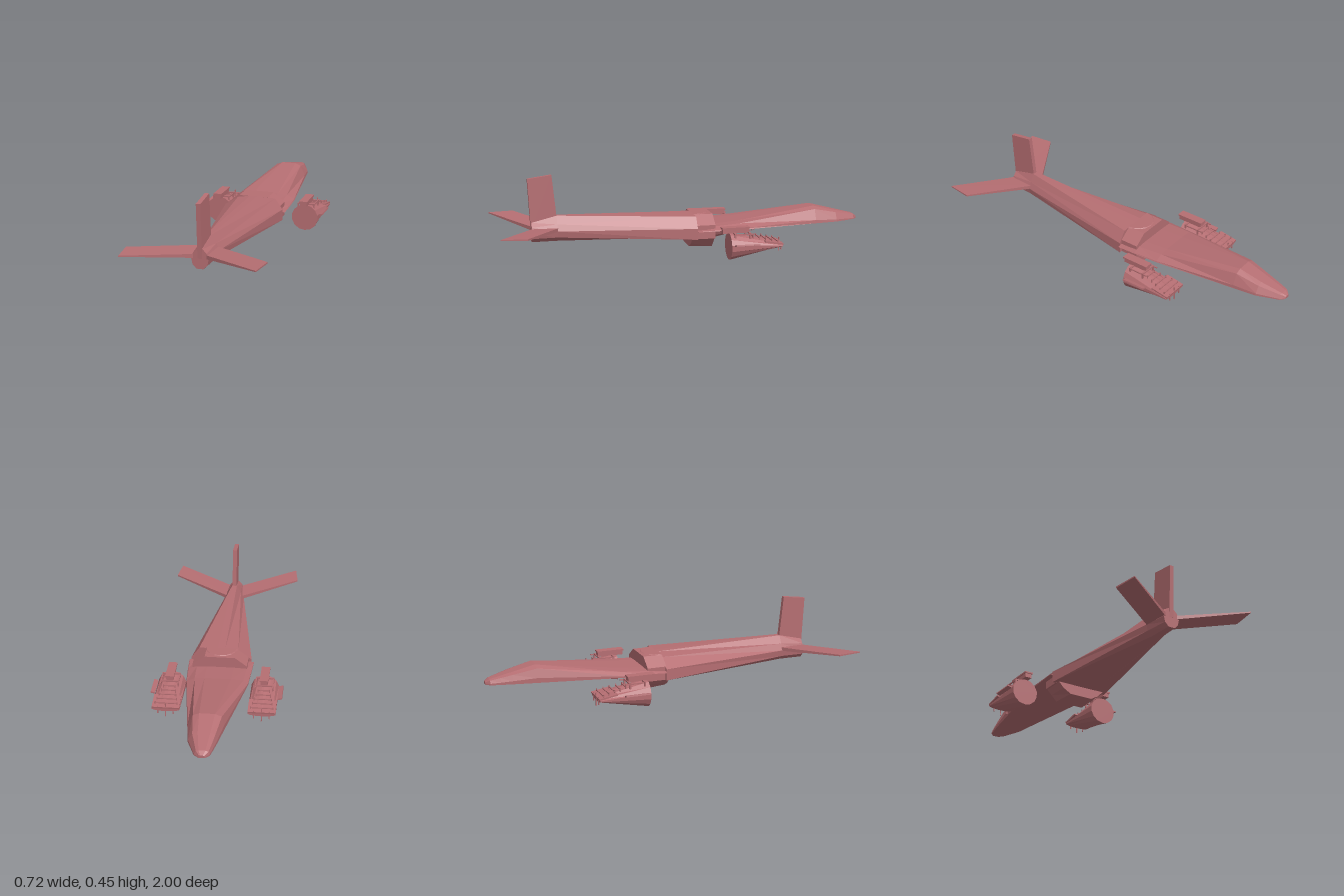
import * as THREE from 'three';

const paint = new THREE.MeshStandardMaterial({ color: 0xb56e72, flatShading: true });
paint.name = 'dusty red';

// Skins a row of counter-clockwise [x, y] rings, ordered by rising z, with closed ends
function loft(rings) {
  const pos = [], n = rings[0].pts.length;
  const put = (r, j) => {
    const p = rings[r].pts[j % n];
    pos.push(p[0], p[1], p[2] ?? rings[r].z);
  };
  for (let r = 0; r < rings.length - 1; r++) {
    for (let j = 0; j < n; j++) {
      put(r, j); put(r, j + 1); put(r + 1, j + 1);
      put(r, j); put(r + 1, j + 1); put(r + 1, j);
    }
  }
  const last = rings.length - 1;
  for (let j = 1; j < n - 1; j++) {
    put(0, 0); put(0, j + 1); put(0, j);
    put(last, 0); put(last, j); put(last, j + 1);
  }
  const g = new THREE.BufferGeometry();
  g.setAttribute('position', new THREE.Float32BufferAttribute(pos, 3));
  g.computeVertexNormals();
  return g;
}

// Adds the mirrored half to a right-hand half outline that runs upward
const mirrored = half => [...half, ...half.map(([x, y]) => [-x, y]).reverse()];

function part(parent, name, geometry) {
  const m = new THREE.Mesh(geometry, paint);
  m.name = name;
  parent.add(m);
  return m;
}

function box(parent, name, x, y, z, w, h, d) {
  const m = part(parent, name, new THREE.BoxGeometry(w, h, d));
  m.position.set(x, y, z);
  return m;
}

function buildNacelle(side) {
  const g = new THREE.Group();
  g.name = side > 0 ? 'leftNacelle' : 'rightNacelle';

  // Round at one end, flattening to a wide lip at the other
  const ring = (z, cy, rx, ry) => ({
    z,
    pts: Array.from({ length: 14 }, (_, i) => {
      const a = (i / 14) * Math.PI * 2 + Math.PI / 14;
      return [rx * Math.cos(a), cy + ry * Math.sin(a)];
    }),
  });
  part(g, 'nacelleShell', loft([
    ring(-0.48, 0.077, 0.074, 0.013),
    ring(-0.205, 0.074, 0.074, 0.073),
  ]));

  // Short sloping deck behind the lip
  const deck = box(g, 'nacelleDeck', 0, 0.094, -0.435, 0.142, 0.008, 0.1);
  deck.rotation.x = -0.17;

  // Cradle and mount block
  box(g, 'mountBlock', 0, 0.158, -0.24, 0.036, 0.026, 0.14);
  box(g, 'mountCap', 0, 0.172, -0.24, 0.046, 0.008, 0.15);
  for (const z of [-0.23, -0.31]) {
    box(g, 'cradleBar', 0, 0.145, z, 0.09, 0.007, 0.01);
    for (const x of [-0.045, 0.045]) box(g, 'cradleLeg', x, 0.132, z, 0.007, 0.03, 0.01);
  }
  for (const x of [-0.045, 0.045]) box(g, 'cradleRail', x, 0.142, -0.28, 0.006, 0.006, 0.11);

  // Rungs and pins along the deck, widening towards the lip
  for (let i = 0; i < 5; i++) {
    const z = -0.33 - i * 0.032, y = 0.128 - i * 0.007, w = 0.06 + i * 0.014;
    box(g, 'deckRung', 0, y, z, w, 0.005, 0.006);
    for (const x of [-1, 1]) box(g, 'deckPin', x * w / 2, y - 0.004, z, 0.005, 0.022, 0.005);
  }
  for (const x of [-0.04, 0, 0.04]) box(g, 'lipPin', x, 0.072, -0.48, 0.005, 0.075 - Math.abs(x) * 0.8, 0.005);

  // Small outboard vane
  const vane = box(g, 'outboardVane', side * 0.085, 0.093, -0.285, 0.024, 0.008, 0.13);
  vane.rotation.z = side * 0.25;
  g.position.x = side * 0.247;
  return g;
}

export function createModel() {
  const model = new THREE.Group();
  model.name = 'aircraft';

  // Forward hull: flat bottom, hump near the nose, thin trailing wedge;
  // the +x flank is broad and the -x edge steep
  const noseRing = ([z, right, left, top]) => {
    const b = 0.138, h = top - b;
    return {
      z,
      pts: [
        [right, b], [right * 0.98, b + h * 0.2], [right * 0.72, b + h * 0.85], [right * 0.4, top],
        [-left * 0.45, top], [-left * 0.85, b + h * 0.85], [-left, b + h * 0.3], [-left, b],
      ],
    };
  };
  part(model, 'forwardHull', loft([
    [-1, 0.016, 0.016, 0.152],
    [-0.978, 0.04, 0.038, 0.166],
    [-0.925, 0.06, 0.05, 0.179],
    [-0.865, 0.083, 0.062, 0.194],
    [-0.74, 0.1, 0.084, 0.225],
    [-0.3, 0.162, 0.163, 0.168],
    [-0.16, 0.17, 0.17, 0.158],
    [-0.06, 0.174, 0.174, 0.146],
  ].map(noseRing)));

  // Aft hull: broad shoulder, narrowing to a rounded tail with a fin root
  part(model, 'aftHull', loft([
    { z: -0.06, pts: [[0.09, 0.096], [0.162, 0.096], [0.162, 0.155], [0.12, 0.213], [0.02, 0.217],
      [-0.02, 0.217], [-0.09, 0.205], [-0.162, 0.157], [-0.162, 0.096], [-0.09, 0.096]] },
    { z: 0.67, pts: mirrored([[0.024, 0.099], [0.05, 0.122], [0.055, 0.155], [0.038, 0.19], [0.014, 0.232]]) },
    { z: 0.803, pts: mirrored([[0.018, 0.097], [0.038, 0.118], [0.045, 0.148], [0.035, 0.178], [0.014, 0.2]]) },
  ]));

  // Eight-sided middle section with a lower belly box
  part(model, 'middleSection', loft([-0.16, -0.055].map(z => ({
    z, pts: mirrored([[0.08, 0.09], [0.145, 0.095], [0.145, 0.168], [0.08, 0.216]]),
  }))));
  part(model, 'bellyBox', loft([
    { z: -0.157, pts: mirrored([[0.08, 0.037], [0.11, 0.067], [0.14, 0.097]]) },
    { z: -0.035, pts: mirrored([[0.064, 0.041], [0.108, 0.066], [0.137, 0.097]]) },
  ]));

  // Low rounded hatch on the middle section
  const hatch = part(model, 'hatch', new THREE.CylinderGeometry(0.08, 0.088, 0.006, 8, 1, false, Math.PI / 2, Math.PI));
  hatch.position.set(0, 0.216, -0.062);

  // Upright fin
  const outline = [[-0.805, 0.15], [-0.67, 0.2], [-0.67, 0.232], [-0.692, 0.449], [-0.82, 0.432]];
  const finShape = new THREE.Shape(outline.map(([x, y]) => new THREE.Vector2(x, y)));
  const finGeometry = new THREE.ExtrudeGeometry(finShape, { depth: 0.023, bevelEnabled: false });
  const fin = part(model, 'fin', finGeometry.translate(0, 0, -0.0115));
  fin.rotation.y = Math.PI / 2;

  // Swept tailplanes, thinner at the tips
  const root = [[0.03, 0.15, 0.655], [0.03, 0.15, 0.8], [0.03, 0.17, 0.8], [0.03, 0.17, 0.655]];
  const tip = [[0.36, 0.185, 0.862], [0.344, 0.187, 0.995], [0.344, 0.193, 0.995], [0.36, 0.193, 0.862]];
  for (const s of [1, -1]) {
    const rings = [root, tip].map(r => ({ pts: r.map(([x, y, z]) => [s * x, y, z]) }));
    if (s > 0) rings.forEach(r => r.pts.reverse());
    part(model, s > 0 ? 'leftTailplane' : 'rightTailplane', loft(rings));
  }

  // Engine nacelles
  for (const s of [1, -1]) model.add(buildNacelle(s));
  return model;
}
